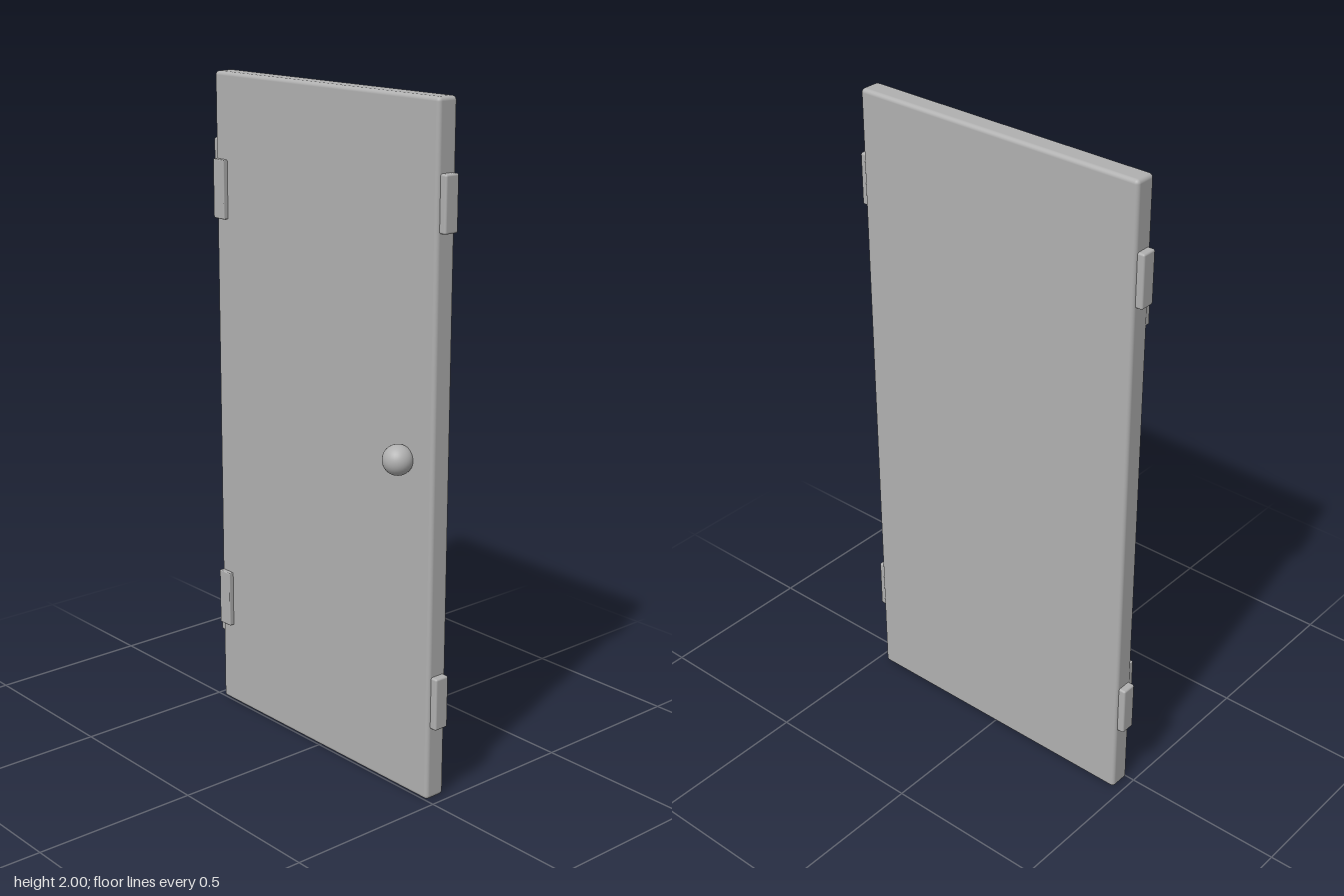
import * as THREE from 'three';
import { RoundedBoxGeometry } from 'three/addons/geometries/RoundedBoxGeometry.js';

export function createModel() {
  const door = new THREE.Group();
  door.name = 'door';
  const grey = new THREE.MeshStandardMaterial({ color: 0xb0b0b0 });
  grey.name = 'grey';

  function add(name, geometry, x, y, z) {
    const mesh = new THREE.Mesh(geometry, grey);
    mesh.name = name;
    mesh.position.set(x, y, z);
    door.add(mesh);
  }

  // Door leaf with softly rounded edges
  add('panel', new RoundedBoxGeometry(0.946, 2, 0.068, 3, 0.012), 0, 1, -0.034);

  // Hinge blocks on both side edges, partly sunk into the panel
  for (const [side, sign] of [['left', 1], ['right', -1]]) {
    for (const [level, y] of [['Upper', 1.723], ['Lower', 0.302]]) {
      add(side + level + 'EdgeHinge', new RoundedBoxGeometry(0.05, 0.158, 0.048, 3, 0.006), sign * 0.469, y, -0.034);
    }
  }

  // Hinge plates on the front face
  for (const [level, y] of [['upper', 1.655], ['lower', 0.352]]) {
    add(level + 'FrontHinge', new RoundedBoxGeometry(0.05, 0.177, 0.034, 3, 0.003), -0.442, y, -0.002);
  }

  // Round knob
  add('knob', new THREE.SphereGeometry(0.044, 32, 24), 0.358, 1.004, 0.022);

  return door;
}
